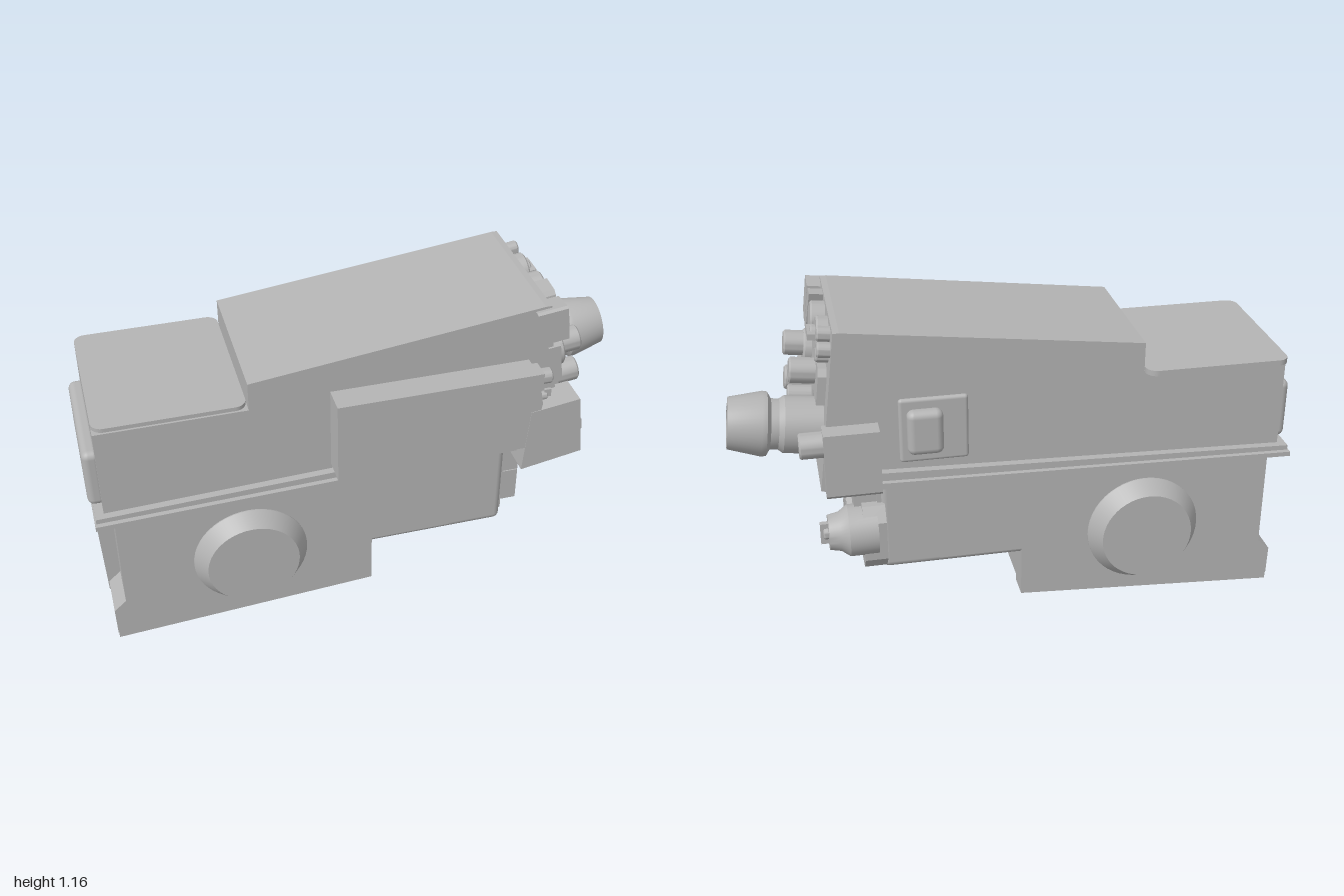
import * as THREE from 'three';
import { toCreasedNormals } from 'three/addons/utils/BufferGeometryUtils.js';
import { RoundedBoxGeometry } from 'three/addons/geometries/RoundedBoxGeometry.js';

const grey = new THREE.MeshStandardMaterial({ color: 0xb4b4b4 });
grey.name = 'grey housing';

function add(parent, name, geometry, x = 0, y = 0, z = 0) {
  const mesh = new THREE.Mesh(geometry, grey);
  mesh.name = name;
  mesh.position.set(x, y, z);
  parent.add(mesh);
  return mesh;
}

const outline = (pts) => new THREE.Shape(pts.map(([a, b]) => new THREE.Vector2(a, b)));
const flat = { bevelEnabled: false };

// Side profile in x,y swept from z0 to z1
function prism(parent, name, pts, z0, z1) {
  return add(parent, name, new THREE.ExtrudeGeometry(outline(pts), { depth: z1 - z0, ...flat }), 0, 0, z0);
}

// Outline in z,y standing out along +x from x0 to x1
function plate(parent, name, pts, x0, x1) {
  const g = new THREE.ExtrudeGeometry(outline(pts.map(([z, y]) => [-z, y])), { depth: x1 - x0, ...flat });
  g.rotateY(Math.PI / 2);
  return add(parent, name, g, x0);
}

function box(parent, name, x0, x1, y0, y1, z0, z1, r = 0) {
  const s = [x1 - x0, y1 - y0, z1 - z0];
  const g = r ? new RoundedBoxGeometry(...s, 3, r) : new THREE.BoxGeometry(...s);
  return add(parent, name, g, (x0 + x1) / 2, (y0 + y1) / 2, (z0 + z1) / 2);
}

// Turned part along x, profile given as [x, radius]
function turned(parent, name, y, z, pts) {
  const g = new THREE.LatheGeometry(pts.map(([x, r]) => new THREE.Vector2(r, x)), 40);
  g.rotateZ(-Math.PI / 2);
  return add(parent, name, toCreasedNormals(g, 0.5), 0, y, z);
}

function knob(parent, name, z, y, r, x0, x1) {
  const c = Math.min(0.006, r * 0.2);
  return turned(parent, name, y, z, [[x0, 0], [x0, r], [x1 - c, r], [x1, r - c], [x1, 0]]);
}

// Oval collar with a bar grip for the rotary switches
function rotaryGrip(parent, z, y, x, s, angle) {
  const grip = new THREE.Group();
  grip.name = 'rotaryGrip';
  grip.position.set(x, y, z);
  grip.rotation.x = angle;
  knob(grip, 'gripHub', 0, 0, s * 0.6, 0, 0.02);
  box(grip, 'gripBar', 0, 0.03, -s, s, -s * 0.25, s * 0.25);
  parent.add(grip);
}

function buildLowerBody(model) {
  const g = new THREE.Group();
  g.name = 'lowerBody';
  model.add(g);
  // Housing with a channel between two runners
  prism(g, 'lowerHousing', [[-0.92, 0.58], [-0.92, 0.18], [-0.965, 0.14], [-0.963, 0.03], [0, 0.09],
    [0, 0.26], [0.3, 0.26], [0.3, 0.6]], -0.28, 0.26);
  for (const [z0, z1] of [[0.16, 0.26], [-0.28, -0.185]])
    prism(g, 'runner', [[-0.964, 0.08], [-0.96, 0.005], [0, 0.065], [0, 0.14]], z0, z1);
  // Forward overhang with rounded lower edges
  box(g, 'frontOverhang', -0.03, 0.505, 0.24, 0.6, -0.28, 0.26, 0.025);
  // Rear rib and hatch
  prism(g, 'rearRib', [[-0.985, 0.57], [-0.967, 0.1], [-0.9, 0.1], [-0.9, 0.57]], 0.05, 0.1);
  box(g, 'rearHatch', -0.955, -0.9, 0.25, 0.48, -0.17, 0.01, 0.02);
  // Round side bosses
  for (const [side, z0, h] of [[1, 0.26, 0.06], [-1, -0.28, 0.065]]) {
    const pts = [[0.208, -0.01], [0.208, 0.004], [0.167, h], [0, h]].map(([r, y]) => new THREE.Vector2(r, y));
    const boss = add(g, 'sideBoss', toCreasedNormals(new THREE.LatheGeometry(pts, 48), 0.4), -0.455, 0.297, z0);
    boss.rotation.x = side * Math.PI / 2;
  }
}

function buildLowerPanel(model) {
  const g = new THREE.Group();
  g.name = 'lowerPanel';
  model.add(g);
  plate(g, 'panelBase', [[0.23, 0.27], [0.23, 0.56], [-0.27, 0.56], [-0.27, 0.27], [-0.24, 0.25], [0.2, 0.25]], 0.49, 0.515);
  box(g, 'doorUpper', 0.5, 0.575, 0.442, 0.558, 0.09, 0.225);
  box(g, 'doorLower', 0.5, 0.575, 0.305, 0.438, 0.09, 0.225);
  plate(g, 'controlPlate', [[0.055, 0.395], [0.055, 0.5], [0.02, 0.54], [-0.26, 0.54], [-0.26, 0.395]], 0.5, 0.595);
  box(g, 'togglePlate', 0.5, 0.61, 0.275, 0.39, -0.15, 0.08);
  for (const z of [0.005, -0.072]) {
    box(g, 'toggleSlot', 0.605, 0.616, 0.31, 0.38, z - 0.003, z + 0.003);
    box(g, 'toggleTip', 0.605, 0.625, 0.285, 0.315, z - 0.006, z + 0.006);
  }
  turned(g, 'centreKnob', 0.472, -0.06, [[0.58, 0], [0.58, 0.04], [0.62, 0.04], [0.625, 0.026], [0.67, 0.026], [0.67, 0]]);
  for (const [z, a] of [[0.015, -0.15], [-0.14, 0.9]])
    box(g, 'guard', 0.58, 0.615, -0.035, 0.035, -0.018, 0.018).position.set(0.598, 0.47, z);
  for (const [i, m] of g.children.filter((c) => c.name === 'guard').entries()) m.rotation.x = i ? 0.9 : -0.15;
  // Selector on its bracket
  plate(g, 'selectorBracket', [[-0.16, 0.25], [-0.27, 0.25], [-0.325, 0.31], [-0.33, 0.46], [-0.29, 0.51], [-0.16, 0.51]], 0.49, 0.57);
  turned(g, 'selector', 0.405, -0.262, [[0.52, 0], [0.52, 0.092], [0.62, 0.092], [0.65, 0.07], [0.69, 0.062], [0.69, 0]]);
  rotaryGrip(g, -0.262, 0.405, 0.688, 0.04, 0);
}

function buildUpperBody(model) {
  const g = new THREE.Group();
  g.name = 'upperBody';
  model.add(g);
  prism(g, 'upperHousing', [[-0.95, 0.57], [0.5, 0.6], [0.54, 0.55], [0.705, 0.585], [0.632, 1.165], [0.61, 1.165],
    [-0.43, 1.04], [-0.43, 0.935], [-0.95, 0.935]], -0.284, 0.255);
  // Stepped flange between the halves
  prism(g, 'flangeLower', [[-0.985, 0.565], [0.53, 0.595], [0.53, 0.618], [-0.985, 0.582]], -0.33, 0.3);
  prism(g, 'flangeUpper', [[-0.98, 0.58], [0.53, 0.615], [0.53, 0.648], [-0.98, 0.6]], -0.312, 0.282);
  // Rear lid with rounded corners
  const lid = new THREE.Shape();
  const [x0, x1, z0, z1, r] = [-0.95, -0.432, -0.325, 0.247, 0.04];
  lid.absarc(x1 - r, z1 - r, r, 0, Math.PI / 2);
  lid.absarc(x0 + r, z1 - r, r, Math.PI / 2, Math.PI);
  lid.absarc(x0 + r, z0 + r, r, Math.PI, Math.PI * 1.5);
  lid.absarc(x1 - r, z0 + r, r, Math.PI * 1.5, Math.PI * 2);
  const lidGeo = new THREE.ExtrudeGeometry(lid, { depth: 0.02, ...flat, curveSegments: 6 });
  add(g, 'rearLid', lidGeo.rotateX(Math.PI / 2), 0, 0.95, 0);
  box(g, 'rearPanel', -0.995, -0.93, 0.6, 0.825, -0.245, 0.21, 0.025);
  // Side hatch with a raised cover
  box(g, 'sideHatch', 0.19, 0.43, 0.67, 0.91, -0.296, -0.27, 0.012);
  box(g, 'hatchCover', 0.28, 0.405, 0.71, 0.875, -0.335, -0.28, 0.025);
  // Left side unit and its front block
  prism(g, 'sideUnit', [[-0.15, 0.645], [0.56, 0.645], [0.59, 0.83], [0.565, 0.957], [-0.15, 0.957]], 0.25, 0.353);
  prism(g, 'sideUnitFront', [[0.53, 0.55], [0.757, 0.59], [0.73, 0.825], [0.55, 0.8]], 0.24, 0.355);
  box(g, 'sideUnitLabel', 0.735, 0.75, 0.685, 0.73, 0.268, 0.348).rotation.z = 0.12;
  box(g, 'sideSocketPlate', 0.56, 0.59, 0.88, 0.95, 0.272, 0.343);
  knob(g, 'sideSocket', 0.308, 0.917, 0.028, 0.57, 0.63);
  for (const z of [0.33, 0.287]) {
    knob(g, 'sideToggleBase', z, 0.85, 0.015, 0.57, 0.61);
    box(g, 'sideToggle', 0.6, 0.625, 0.845, 0.875, z - 0.005, z + 0.005);
  }
  // Right side block
  plate(g, 'rightBlock', [[-0.27, 0.585], [-0.34, 0.585], [-0.355, 0.6], [-0.355, 0.83], [-0.27, 0.83]], 0.5, 0.69);
  knob(g, 'rightBlockKnob', -0.3, 0.775, 0.045, 0.67, 0.77);
}

function buildFace(model) {
  // Tilted frame: local x = 0 lies on the control face
  const pivot = new THREE.Group();
  pivot.name = 'controlFace';
  pivot.position.set(0.632, 1.165, 0);
  pivot.rotation.z = 0.125;
  const g = new THREE.Group();
  g.name = 'controls';
  g.position.y = -1.165;
  pivot.add(g);
  model.add(pivot);
  // Upper row
  plate(g, 'hood', [[0.28, 1.03], [0.28, 1.155], [0.268, 1.16], [0.187, 1.15], [0.187, 1.01], [0.24, 1.01]], -0.06, 0.05);
  plate(g, 'slantedCover', [[0.183, 1.005], [0.163, 1.14], [0.15, 1.155], [0.082, 1.16], [0.127, 1.005]], -0.02, 0.05);
  knob(g, 'topDial', 0.028, 1.09, 0.063, -0.02, 0.05);
  knob(g, 'topSelector', -0.108, 1.09, 0.063, -0.02, 0.04);
  rotaryGrip(g, -0.108, 1.095, 0.038, 0.045, Math.PI / 2);
  for (const [z, y] of [[-0.2, 1.13], [-0.247, 1.092], [-0.2, 1.055]]) knob(g, 'topButton', z, y, 0.026, -0.02, 0.045);
  // Left plate and knobs
  plate(g, 'leftPlate', [[0.228, 0.645], [0.228, 0.85], [0.263, 0.85], [0.263, 0.995], [0.066, 0.995], [0.066, 0.865],
    [-0.014, 0.865], [-0.014, 0.645]], -0.02, 0.025);
  knob(g, 'leftDialBase', 0.165, 0.925, 0.067, 0, 0.055);
  for (const [z, y, r, x] of [[0.165, 0.94, 0.045, 0.125], [0.163, 0.805, 0.044, 0.115],
    [0.042, 0.795, 0.033, 0.11], [0.042, 0.72, 0.035, 0.1]]) knob(g, 'leftKnob', z, y, r, 0, x);
  turned(g, 'smallKnob', 0.705, 0.145, [[0, 0], [0, 0.034], [0.05, 0.034], [0.055, 0.018], [0.09, 0.018], [0.09, 0]]);
  // Right plate and knob
  plate(g, 'rightPlate', [[0.02, 0.87], [0.02, 0.975], [0, 0.998], [-0.185, 0.998], [-0.207, 0.975], [-0.207, 0.87]], -0.02, 0.03);
  knob(g, 'rightKnob', -0.086, 0.945, 0.045, 0, 0.12);
  // Eyepiece barrel, hollow at the end
  turned(g, 'eyepiece', 0.762, -0.136, [[-0.02, 0], [-0.02, 0.1], [0.13, 0.1], [0.148, 0.088], [0.175, 0.088],
    [0.188, 0.111], [0.205, 0.113], [0.32, 0.09], [0.322, 0.06], [0.27, 0.055], [0.27, 0]]);
}

export function createModel() {
  const model = new THREE.Group();
  model.name = 'opticalInstrument';
  buildLowerBody(model);
  buildLowerPanel(model);
  buildUpperBody(model);
  buildFace(model);
  return model;
}
